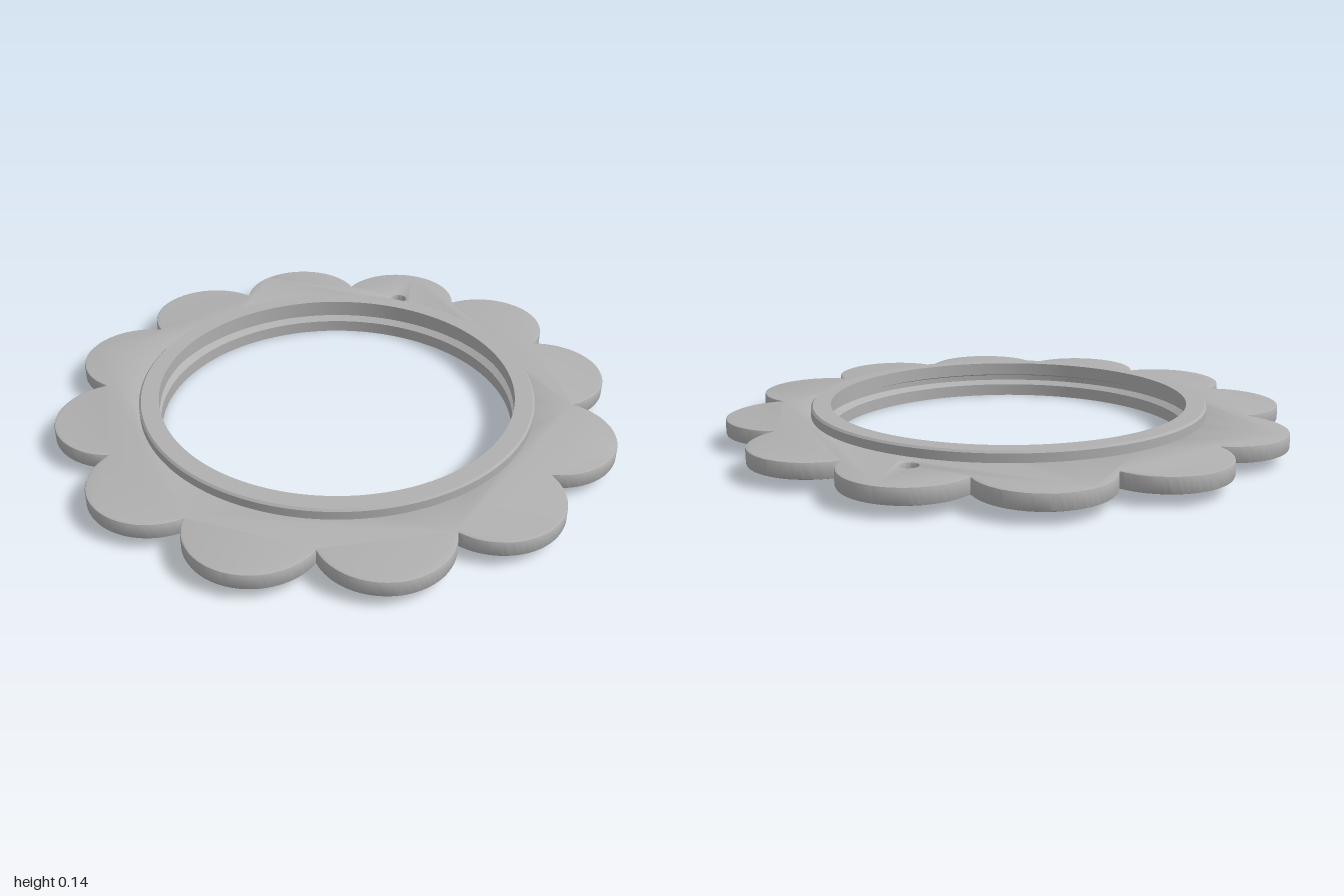
import * as THREE from 'three';
import { toCreasedNormals } from 'three/addons/utils/BufferGeometryUtils.js';

const PETALS = 12;
const PETAL_RADIUS = 0.224;
const PETAL_CENTRE = 1 - PETAL_RADIUS;

// Scalloped outline: one arc per petal, meeting halfway between neighbours
function scallopShape() {
  const shape = new THREE.Shape();
  const step = (Math.PI * 2) / PETALS;
  const valley = 0.849;
  const half = Math.atan2(
    valley * Math.sin(step / 2),
    valley * Math.cos(step / 2) - PETAL_CENTRE
  );
  for (let i = 0; i < PETALS; i++) {
    const a = i * step;
    shape.absarc(PETAL_CENTRE * Math.cos(a), PETAL_CENTRE * Math.sin(a),
      PETAL_RADIUS, a - half, a + half, false);
  }
  return shape;
}

function circleHole(x, y, r) {
  return new THREE.Path().absarc(x, y, r, 0, Math.PI * 2, true);
}

export function createModel() {
  const group = new THREE.Group();
  group.name = 'flowerFrame';
  const grey = new THREE.MeshStandardMaterial({ color: 0xb0b0b0 });
  grey.name = 'grey';

  // Flat petal plate with a hanging hole at the back
  const shape = scallopShape();
  shape.holes.push(circleHole(0, 0, 0.69), circleHole(0, PETAL_CENTRE + 0.004, 0.03));
  const bevel = 0.007;
  const bottom = 0.041;
  const top = 0.098;
  const plate = new THREE.ExtrudeGeometry(shape, {
    depth: top - bottom - 2 * bevel,
    curveSegments: 32,
    bevelEnabled: true,
    bevelThickness: bevel,
    bevelSize: bevel,
    bevelOffset: -bevel,
    bevelSegments: 2,
  });
  plate.rotateX(-Math.PI / 2).translate(0, bottom + bevel, 0);
  const petals = new THREE.Mesh(toCreasedNormals(plate, 0.5), grey);
  petals.name = 'petalPlate';
  group.add(petals);

  // Raised rim with chamfered outer edges and a groove inside the opening
  const profile = [
    [0.635, 0], [0.698, 0], [0.705, 0.007],
    [0.705, 0.128], [0.698, 0.135], [0.635, 0.135],
    [0.635, 0.088], [0.66, 0.08], [0.66, 0.06], [0.635, 0.045],
    [0.635, 0],
  ].map(([r, y]) => new THREE.Vector2(r, y));
  const rim = new THREE.Mesh(
    toCreasedNormals(new THREE.LatheGeometry(profile, 128), 0.4), grey);
  rim.name = 'rim';
  group.add(rim);

  return group;
}
